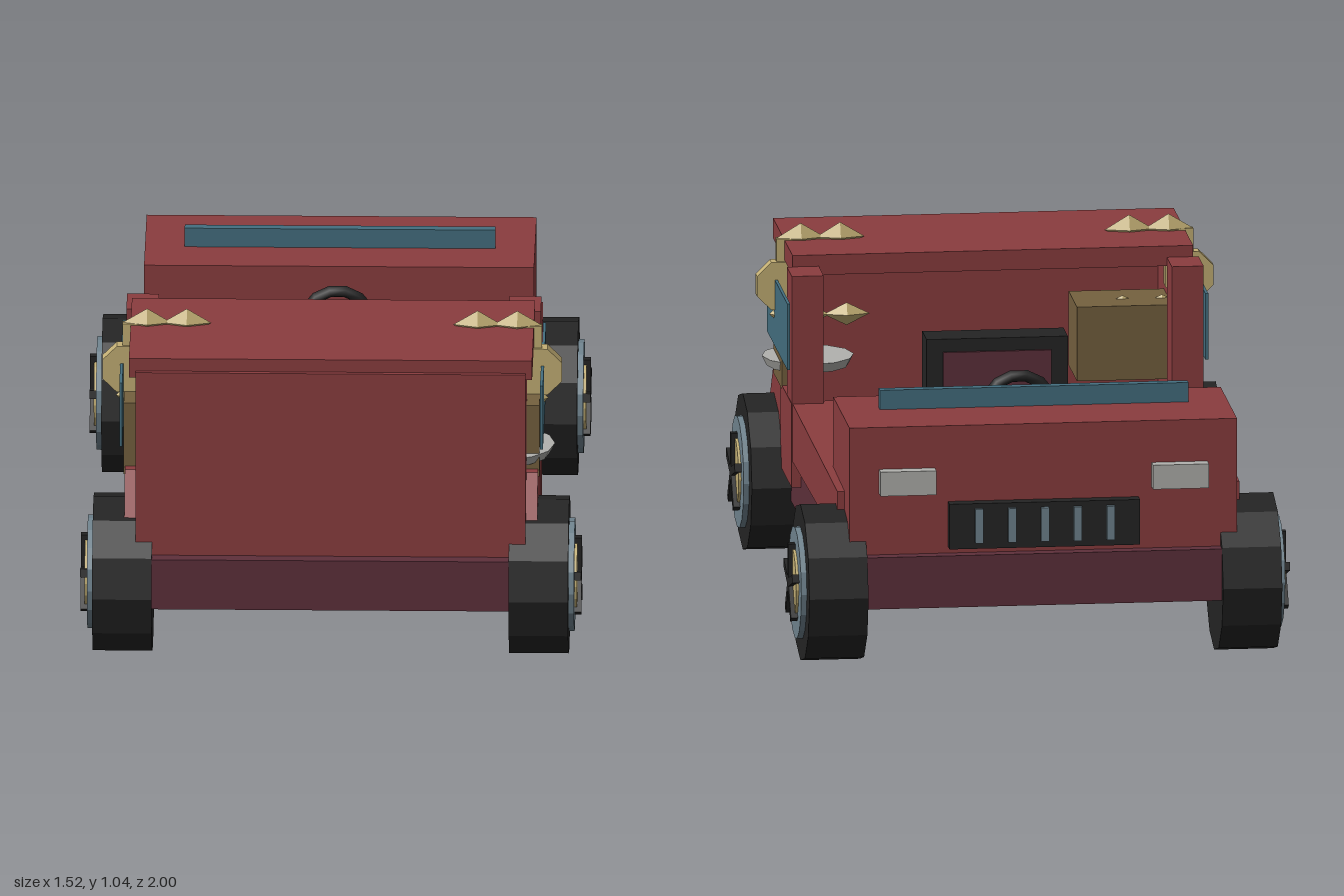
import * as THREE from 'three';

const mat = (name, color) => {
  const m = new THREE.MeshStandardMaterial({ color });
  m.name = name;
  return m;
};

export function createModel() {
  const root = new THREE.Group();
  root.name = 'openTruck';
  const red = mat('body red', 0x8b3d3f);
  const plum = mat('chassis plum', 0x5e303b);
  const black = mat('rubber black', 0x242424);
  const teal = mat('glass teal', 0x446f80);
  const gold = mat('brass gold', 0xc4b075);
  const steel = mat('steel blue', 0x70848f);
  const silver = mat('lamp silver', 0xb2b2ae);
  const olive = mat('crate olive', 0x75613f);

  const add = (name, geo, m, parent = root) => {
    const mesh = new THREE.Mesh(geo, m);
    mesh.name = name;
    parent.add(mesh);
    return mesh;
  };
  // Box given by its limits on each axis
  const box = (name, m, x0, x1, y0, y1, z0, z1, parent = root) => {
    const b = add(name, new THREE.BoxGeometry(Math.abs(x1 - x0), y1 - y0, z1 - z0), m, parent);
    b.position.set((x0 + x1) / 2, (y0 + y1) / 2, (z0 + z1) / 2);
    return b;
  };
  // Cylinder lying along x
  const disc = (name, m, r, x0, x1, sides, parent) => {
    const g = new THREE.CylinderGeometry(r, r, x1 - x0, sides).toNonIndexed();
    g.computeVertexNormals();
    const d = add(name, g.rotateZ(-Math.PI / 2), m, parent);
    d.position.x = (x0 + x1) / 2;
    return d;
  };

  // Chassis and bonnet
  box('chassis', plum, -0.6, 0.6, 0.2, 0.36, -0.97, 0.97);
  box('bonnet', red, -0.59, 0.59, 0.36, 0.755, -0.93, -0.5);
  box('windscreen', teal, -0.47, 0.47, 0.75, 0.815, -0.69, -0.66);
  box('grille', black, -0.29, 0.29, 0.38, 0.52, -0.97, -0.93);
  for (let i = -2; i <= 2; i++) {
    box('grilleBar', steel, i * 0.1 - 0.012, i * 0.1 + 0.012, 0.4, 0.505, -0.985, -0.965);
  }

  // Rear cabin
  box('rearPanel', red, -0.59, 0.59, 0.36, 0.95, 0.89, 0.93);
  box('roof', red, -0.61, 0.61, 0.928, 0.99, 0.4, 0.915);

  for (const s of [-1, 1]) {
    box('headlight', silver, s * 0.33, s * 0.5, 0.55, 0.625, -0.97, -0.93);

    // Side rail, tapering in height and width towards the bonnet
    const rail = new THREE.BoxGeometry(0.16, 0.18, 1.05);
    const p = rail.attributes.position;
    for (let i = 0; i < p.count; i++) {
      const far = p.getZ(i) < 0;
      const outer = p.getX(i) * s > 0;
      p.setXYZ(i, s * (outer ? (far ? 0.612 : 0.625) : 0.465),
        p.getY(i) < 0 ? 0.38 : far ? 0.53 : 0.56, far ? -0.8 : 0.3);
    }
    rail.computeVertexNormals();
    add('sideRail', rail, red);

    // Cabin side: upper wall, lower skirt and front pillar
    box('sideWall', red, s * 0.56, s * 0.59, 0.36, 0.94, 0.38, 0.9);
    box('pillar', red, s * 0.53, s * 0.627, 0.36, 0.955, 0.27, 0.4);
    box('skirt', red, s * 0.56, s * 0.628, 0.3, 0.56, 0.27, 0.56);
    const arch = new THREE.Shape([[-0.91, 0.4], [-0.77, 0.575], [-0.53, 0.575], [-0.53, 0.36], [-0.91, 0.36]]
      .map(([a, b]) => new THREE.Vector2(a, b)));
    const archGeo = new THREE.ExtrudeGeometry(arch, { depth: 0.04, bevelEnabled: false });
    const archMesh = add('wheelArch', archGeo.rotateY(Math.PI / 2), red);
    archMesh.position.x = s > 0 ? 0.585 : -0.625;
    box('sideWindow', teal, s * 0.632, s * 0.641, 0.665, 0.87, 0.27, 0.81);

    // Brass ring of beads passing through the roof edge
    const ring = new THREE.Group();
    ring.name = 'brassRing';
    ring.position.z = 0.62;
    ring.scale.x = s;
    root.add(ring);
    const brass = gold.clone();
    brass.side = THREE.FrontSide;
    const bead = (x, y, rx, ry) => {
      const b = add('bead', new THREE.OctahedronGeometry(1), gold, ring);
      b.scale.set(rx, ry, 0.024);
      b.position.set(x, y, 0);
    };
    for (const x of [0.44, 0.56]) {
      bead(x, 0.995, 0.074, 0.045);
      bead(x - 0.02, 0.755, 0.07, 0.035);
    }
    box('ringNeck', gold, 0.585, 0.635, 0.88, 0.995, -0.013, 0.013, ring);
    const side = new THREE.CylinderGeometry(0.08, 0.08, 0.044, 8, 1).toNonIndexed();
    side.computeVertexNormals();
    side.rotateX(Math.PI / 2).rotateZ(Math.PI / 8);
    add('sideBead', side, gold, ring).position.set(0.621, 0.851, 0);
    bead(0.63, 0.76, 0.025, 0.025);

    // Wheels
    for (const z of [-0.76, 0.76]) {
      const wheel = new THREE.Group();
      wheel.name = z > 0 ? 'rearWheel' : 'frontWheel';
      wheel.position.set(0, 0.242, z);
      if (s < 0) wheel.rotation.y = Math.PI;
      root.add(wheel);
      disc('tyre', black, 0.242, 0.54, 0.72, 12, wheel);
      disc('rim', steel, 0.172, 0.7, 0.737, 16, wheel);
      disc('hub', gold, 0.108, 0.73, 0.745, 16, wheel);
      for (let k = 0; k < 5; k++) {
        const arm = new THREE.Group();
        arm.name = 'spokeArm';
        arm.rotation.x = k * Math.PI * 2 / 5;
        wheel.add(arm);
        box('spoke', black, 0.735, 0.758, 0, 0.122, -0.013, 0.013, arm);
      }
    }
  }

  // Crates and the round tray set through the cabin sides
  box('leftCrate', olive, 0.55, 0.629, 0.55, 0.78, 0.52, 0.74);
  box('rightCrate', olive, -0.629, -0.27, 0.55, 0.78, 0.52, 0.74);
  const trayGeo = new THREE.CylinderGeometry(0.14, 0.125, 0.03, 12).toNonIndexed();
  trayGeo.computeVertexNormals();
  add('tray', trayGeo, silver).position.set(0.535, 0.61, 0.65);

  // Seat
  box('seatCushion', black, -0.215, 0.215, 0.385, 0.5, -0.09, 0.39);
  box('seatBack', black, -0.215, 0.215, 0.4, 0.745, 0.285, 0.4);
  box('seatPanel', plum, -0.165, 0.165, 0.53, 0.705, 0.277, 0.286);

  // Steering wheel and column
  add('steeringWheel', new THREE.TorusGeometry(0.103, 0.018, 6, 14), black).position.set(0, 0.655, -0.285);
  box('steeringSpoke', steel, -0.1, 0.1, 0.635, 0.665, -0.295, -0.28);
  const a = new THREE.Vector3(0, 0.655, -0.29);
  const b = new THREE.Vector3(0, 0.35, -0.49);
  const column = add('steeringColumn', new THREE.CylinderGeometry(0.013, 0.013, a.distanceTo(b), 8), steel);
  column.position.copy(a).lerp(b, 0.5);
  column.quaternion.setFromUnitVectors(new THREE.Vector3(0, 1, 0), a.clone().sub(b).normalize());

  return root;
}
